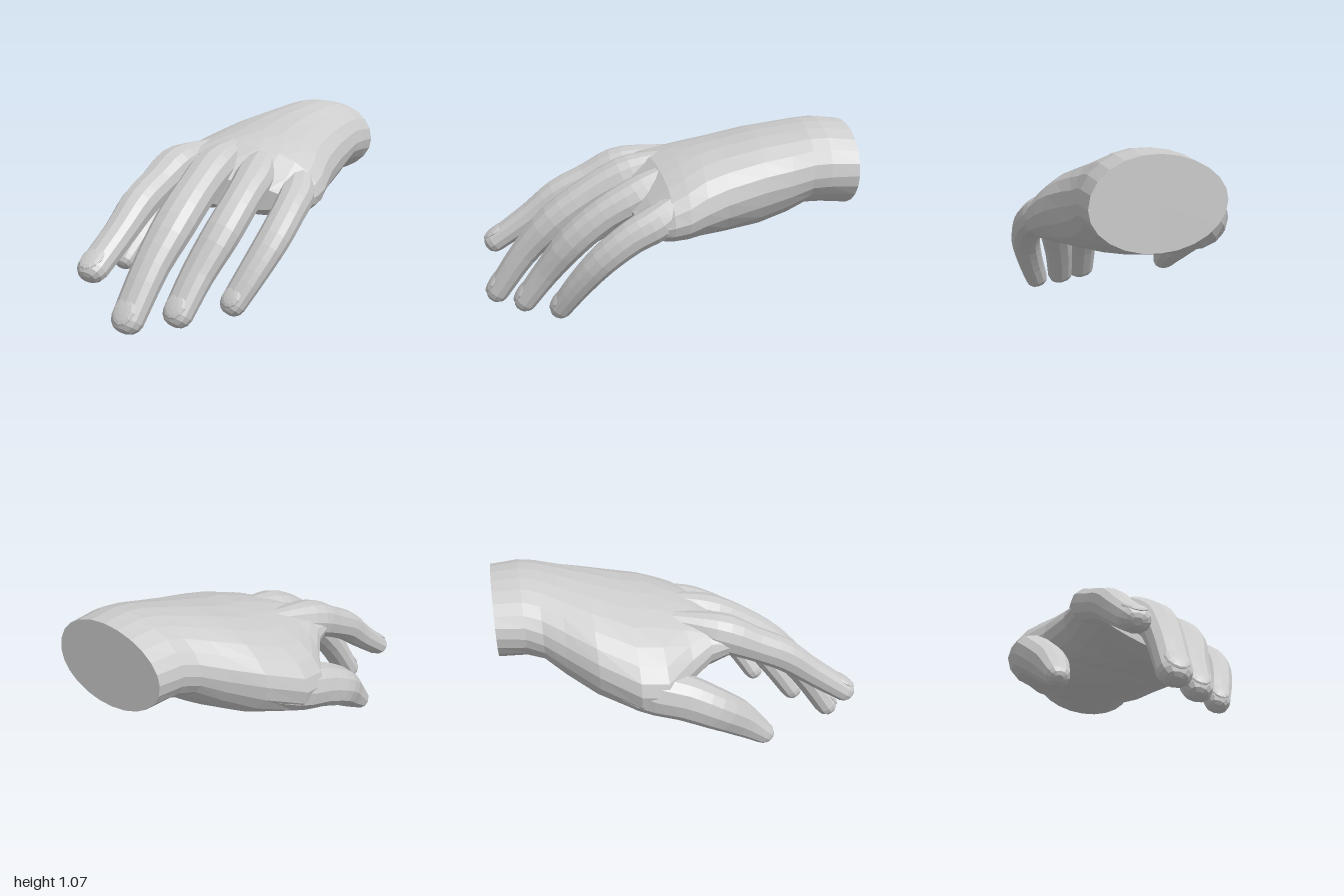
import * as THREE from 'three';

const material = new THREE.MeshStandardMaterial({ color: 0xcccccc, flatShading: true });
const V = (x, y, z) => new THREE.Vector3(x, y, z);

// Closed skin over a list of rings (each counter-clockwise seen from the end), capped at both ends
function loft(rings, name) {
  const n = rings[0].length, pos = [], index = [];
  for (const ring of rings) for (const p of ring) pos.push(p.x, p.y, p.z);
  for (let r = 0; r < rings.length - 1; r++) {
    for (let i = 0; i < n; i++) {
      const j = (i + 1) % n, a = r * n + i, b = r * n + j;
      index.push(a, b, b + n, a, b + n, a + n);
    }
  }
  const cap = (ring, start, flip) => {
    const c = ring.reduce((s, p) => s.add(p), V(0, 0, 0)).divideScalar(n);
    const k = pos.length / 3;
    pos.push(c.x, c.y, c.z);
    for (let i = 0; i < n; i++) {
      const a = start + i, b = start + (i + 1) % n;
      flip ? index.push(k, b, a) : index.push(k, a, b);
    }
  };
  cap(rings[0], 0, true);
  cap(rings[rings.length - 1], (rings.length - 1) * n, false);
  const g = new THREE.BufferGeometry();
  g.setAttribute('position', new THREE.Float32BufferAttribute(pos, 3));
  g.setIndex(index);
  g.computeVertexNormals();
  const mesh = new THREE.Mesh(g, material);
  mesh.name = name;
  return mesh;
}

// Section frame: side is close to x, up points to the back of the finger
function frame(d) {
  const side = V(1, 0, 0).addScaledVector(d, -d.x).normalize();
  return { side, up: d.clone().cross(side), d };
}

// Slightly squared circle coordinate
const squared = v => Math.sign(v) * Math.abs(v) ** 0.88;

// Finger through points [x, y, z, half width, half thickness] with a rounded tip
function digit(name, points, nail) {
  const group = new THREE.Group();
  group.name = name;
  const path = new THREE.CatmullRomCurve3(points.map(p => V(p[0], p[1], p[2])));
  const radii = new THREE.CatmullRomCurve3(points.map(p => V(p[3], p[4], 0)));
  const rings = [], sides = 12, steps = (points.length - 1) * 3;
  const addRing = (c, f, w, h) => {
    const ring = [];
    for (let i = 0; i < sides; i++) {
      const a = i / sides * Math.PI * 2;
      ring.push(c.clone().addScaledVector(f.side, w * squared(Math.cos(a)))
        .addScaledVector(f.up, h * squared(Math.sin(a))));
    }
    rings.push(ring);
  };
  for (let s = 0; s <= steps; s++) {
    const t = s / steps, r = radii.getPoint(t);
    addRing(path.getPoint(t), frame(path.getTangent(t).normalize()), r.x, r.y);
  }
  const end = path.getPoint(1), f = frame(path.getTangent(1).normalize()), r = radii.getPoint(1);
  for (const [ahead, scale] of [[0.45, 0.88], [0.8, 0.62], [0.95, 0.3]]) {
    addRing(end.clone().addScaledVector(f.d, r.y * ahead), f, r.x * scale, r.y * scale);
  }
  group.add(loft(rings, name + 'Skin'));

  // Fingernail: flattened shell set into the back of the tip
  if (nail) {
    const g = new THREE.SphereGeometry(1, 12, 8);
    g.scale(r.x * 0.76, r.y * 0.28, r.x * 0.95);
    const m = new THREE.Mesh(g, material);
    m.name = name + 'Nail';
    m.quaternion.setFromRotationMatrix(new THREE.Matrix4().makeBasis(f.side, f.up, f.d));
    m.position.copy(end).addScaledVector(f.up, r.y * 0.8).addScaledVector(f.d, -r.x * 0.4);
    group.add(m);
  }
  return group;
}

// Wrist and palm sections: z, thumb edge x y, outer edge x y, rise, drop, slant in z, hollow of the palm
function palm() {
  const sections = [
    [-1.0, -0.17, 0.83, 0.51, 0.82, 0.23, 0.225, 0, 0],
    [-0.85, -0.19, 0.82, 0.51, 0.82, 0.25, 0.21, 0, 0],
    [-0.76, -0.22, 0.79, 0.50, 0.81, 0.26, 0.20, 0, 0],
    [-0.65, -0.30, 0.74, 0.50, 0.78, 0.275, 0.25, 0, 0.02],
    [-0.5, -0.42, 0.68, 0.51, 0.75, 0.285, 0.30, 0, 0.06],
    [-0.3, -0.53, 0.60, 0.535, 0.70, 0.295, 0.29, 0, 0.10],
    [-0.17, -0.53, 0.58, 0.555, 0.66, 0.30, 0.25, 0.03, 0.09],
    [-0.04, -0.40, 0.64, 0.57, 0.62, 0.265, 0.22, 0.10, 0.08],
    [0.07, -0.325, 0.69, 0.57, 0.60, 0.215, 0.20, 0.15, 0.05],
    [0.19, -0.30, 0.71, 0.55, 0.58, 0.13, 0.15, 0.22, 0.01],
    [0.28, -0.26, 0.69, 0.47, 0.58, 0.06, 0.09, 0.26, 0]
  ];
  const sides = 24;
  return loft(sections.map(([z, lx, ly, rx, ry, rise, drop, slant, hollow]) => {
    const ring = [];
    for (let i = 0; i < sides; i++) {
      const a = i / sides * Math.PI * 2, s = Math.sin(a), c = Math.cos(a), u = (1 + c) / 2;
      const x = lx + (rx - lx) * u;
      const lift = s > 0 ? s * rise * (1 + 0.08 * c) : s * drop + hollow * s ** 4;
      ring.push(V(x, ly + (ry - ly) * u + lift, z - slant * x));
    }
    return ring;
  }), 'palm');
}

export function createModel() {
  const hand = new THREE.Group();
  hand.name = 'hand';
  hand.add(palm());

  // Fingers start as tendons under the back of the hand
  hand.add(digit('indexFinger', [
    [-0.10, 0.83, -0.20, 0.04, 0.04], [-0.155, 0.79, 0.02, 0.08, 0.075], [-0.195, 0.735, 0.22, 0.118, 0.105],
    [-0.205, 0.66, 0.38, 0.105, 0.092], [-0.21, 0.57, 0.56, 0.098, 0.09], [-0.215, 0.45, 0.72, 0.086, 0.078],
    [-0.23, 0.298, 0.935, 0.084, 0.065]
  ], true));
  hand.add(digit('middleFinger', [
    [0.07, 0.85, -0.20, 0.04, 0.04], [0.05, 0.805, 0.02, 0.08, 0.075], [0.04, 0.74, 0.20, 0.118, 0.105],
    [0.044, 0.64, 0.39, 0.11, 0.098], [0.038, 0.505, 0.58, 0.112, 0.095], [0.005, 0.31, 0.76, 0.097, 0.08],
    [-0.03, 0.065, 0.925, 0.087, 0.068]
  ], true));
  hand.add(digit('ringFinger', [
    [0.21, 0.84, -0.20, 0.04, 0.04], [0.24, 0.77, 0.0, 0.075, 0.075], [0.265, 0.69, 0.15, 0.108, 0.1],
    [0.28, 0.60, 0.32, 0.095, 0.093], [0.26, 0.455, 0.49, 0.097, 0.09], [0.20, 0.26, 0.64, 0.088, 0.075],
    [0.16, 0.08, 0.765, 0.08, 0.065]
  ], true));
  hand.add(digit('littleFinger', [
    [0.37, 0.76, -0.22, 0.04, 0.04], [0.43, 0.69, -0.07, 0.075, 0.075], [0.475, 0.61, 0.06, 0.095, 0.095],
    [0.495, 0.54, 0.20, 0.086, 0.088], [0.482, 0.42, 0.35, 0.085, 0.08], [0.427, 0.26, 0.48, 0.077, 0.07],
    [0.367, 0.115, 0.575, 0.068, 0.06]
  ], true));

  // Thumb grows out of the ball of the hand
  hand.add(digit('thumb', [
    [-0.20, 0.68, -0.55, 0.10, 0.12], [-0.38, 0.57, -0.25, 0.14, 0.13], [-0.44, 0.515, -0.06, 0.12, 0.122],
    [-0.465, 0.445, 0.09, 0.115, 0.11], [-0.43, 0.33, 0.25, 0.1, 0.097], [-0.43, 0.215, 0.39, 0.07, 0.062]
  ], false));
  return hand;
}
